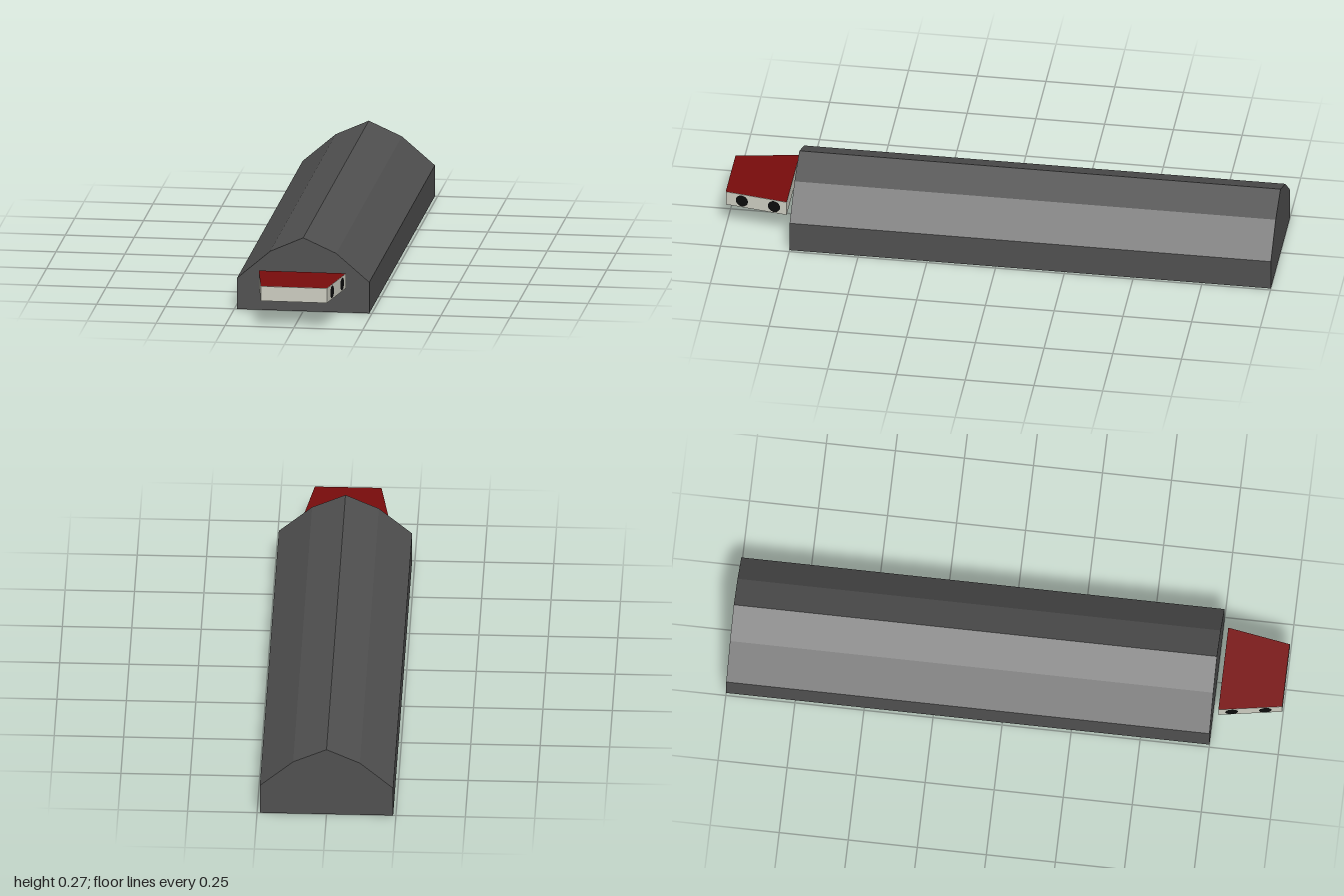
import * as THREE from 'three';

const paint = (color) => new THREE.MeshStandardMaterial({ color, flatShading: true });
const polygon = (points) => new THREE.Shape(points.map(([x, y]) => new THREE.Vector2(x, y)));

export function createModel() {
  const model = new THREE.Group();
  const add = (name, geometry, material) => {
    const mesh = new THREE.Mesh(geometry, material);
    mesh.name = name;
    model.add(mesh);
    return mesh;
  };

  // Long body with a faceted, gabled roof
  const section = polygon([
    [-0.24, 0], [0.24, 0], [0.24, 0.115], [0.12, 0.218],
    [0, 0.272], [-0.12, 0.218], [-0.24, 0.115],
  ]);
  const body = new THREE.ExtrudeGeometry(section, { depth: 1.75, bevelEnabled: false });
  add('body', body.translate(0, 0, -1), paint(0x505050));

  // Tapered block floating just ahead of the body
  const front = 1, back = 0.773, frontHalf = 0.12, backHalf = 0.158;
  const bottom = 0.096, top = 0.15;
  const plan = polygon([
    [-frontHalf, -front], [frontHalf, -front], [backHalf, -back], [-backHalf, -back],
  ]);
  const block = new THREE.ExtrudeGeometry(plan, { depth: top - bottom, bevelEnabled: false });
  add('noseBlock', block.rotateX(-Math.PI / 2).translate(0, bottom, 0), paint(0xccccc0));

  // Red sheet covering the block's top
  const cover = new THREE.ShapeGeometry(plan).rotateX(-Math.PI / 2);
  add('noseCover', cover.translate(0, top + 0.001, 0), paint(0x780c0c));

  // Two dark round ports on each slanted side
  const black = paint(0x0c0c0c);
  const slope = (backHalf - frontHalf) / (front - back);
  const angle = Math.atan2(1, slope);
  for (const side of [-1, 1]) {
    for (const z of [0.94, 0.82]) {
      const port = add(side > 0 ? 'leftPort' : 'rightPort', new THREE.CircleGeometry(0.023, 24), black);
      port.position.set(side * (frontHalf + (front - z) * slope + 0.001), (bottom + top) / 2, z);
      port.rotation.y = side * angle;
    }
  }
  return model;
}
